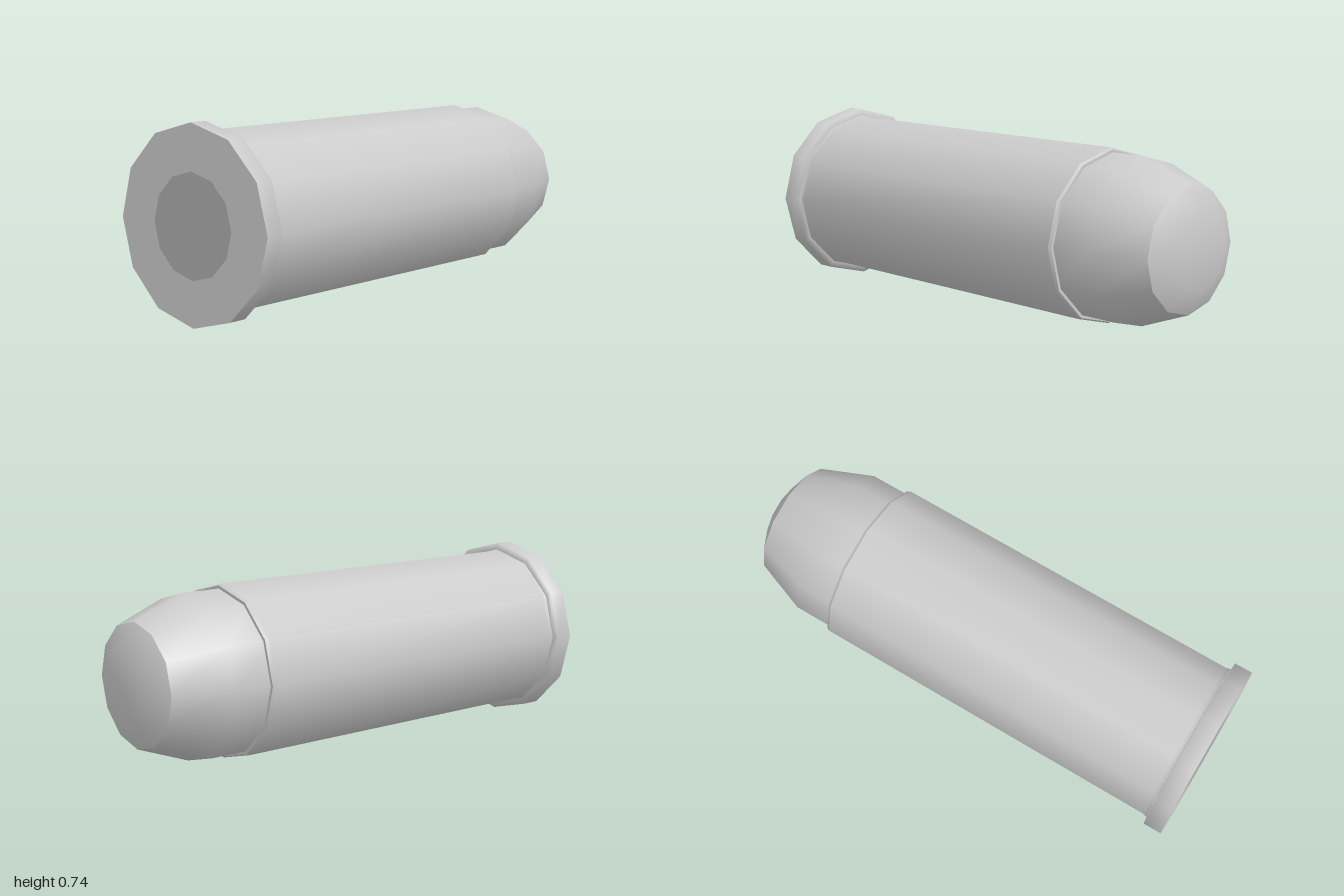
import * as THREE from 'three';

const SIDES = 12;

// Surface of revolution along z; profile is [radius, z] from back to front
function turned(name, profile, material) {
  const points = profile.map(([r, z]) => new THREE.Vector2(r, z));
  const geometry = new THREE.LatheGeometry(points, SIDES);
  geometry.rotateX(Math.PI / 2);
  const mesh = new THREE.Mesh(geometry, material);
  mesh.name = name;
  return mesh;
}

export function createModel() {
  const group = new THREE.Group();
  group.name = 'cartridge';
  const grey = new THREE.MeshStandardMaterial({ color: 0xcccccc });
  const dark = new THREE.MeshStandardMaterial({ color: 0xadadad });

  // Everything hangs from the centre of the base, at z = 0, and runs back to z = -2
  const body = new THREE.Group();
  body.name = 'body';
  body.add(
    // Blunt tip with a wide bevel, then the tapered nose
    turned('noseTip', [[0, -1.996], [0.138, -1.996], [0.24, -1.943]], grey),
    turned('nose', [[0.24, -1.943], [0.322, -1.722], [0.322, -1.54]], grey),
    // Case mouth and case wall
    turned('caseMouth', [[0.318, -1.567], [0.334, -1.567]], grey),
    turned('caseMouthBevel', [[0.334, -1.567], [0.34, -1.556]], grey),
    turned('caseWall', [[0.34, -1.556], [0.338, -0.095], [0.343, -0.078]], grey),
    // Rim, softly shaded from its back face round to its edge
    turned('rim', [[0.338, -0.077], [0.371, -0.074], [0.371, 0]], grey)
  );

  // Flat base around the flush primer
  const base = new THREE.Mesh(new THREE.RingGeometry(0.197, 0.371, SIDES), grey);
  base.name = 'base';
  const primer = new THREE.Mesh(new THREE.CircleGeometry(0.197, SIDES), dark);
  primer.name = 'primer';
  body.add(base, primer);

  // The axis leans very slightly
  body.rotation.set(-0.003, 0.0095, 0);
  body.position.set(0, 0.372, 0.9965);
  group.add(body);
  return group;
}
